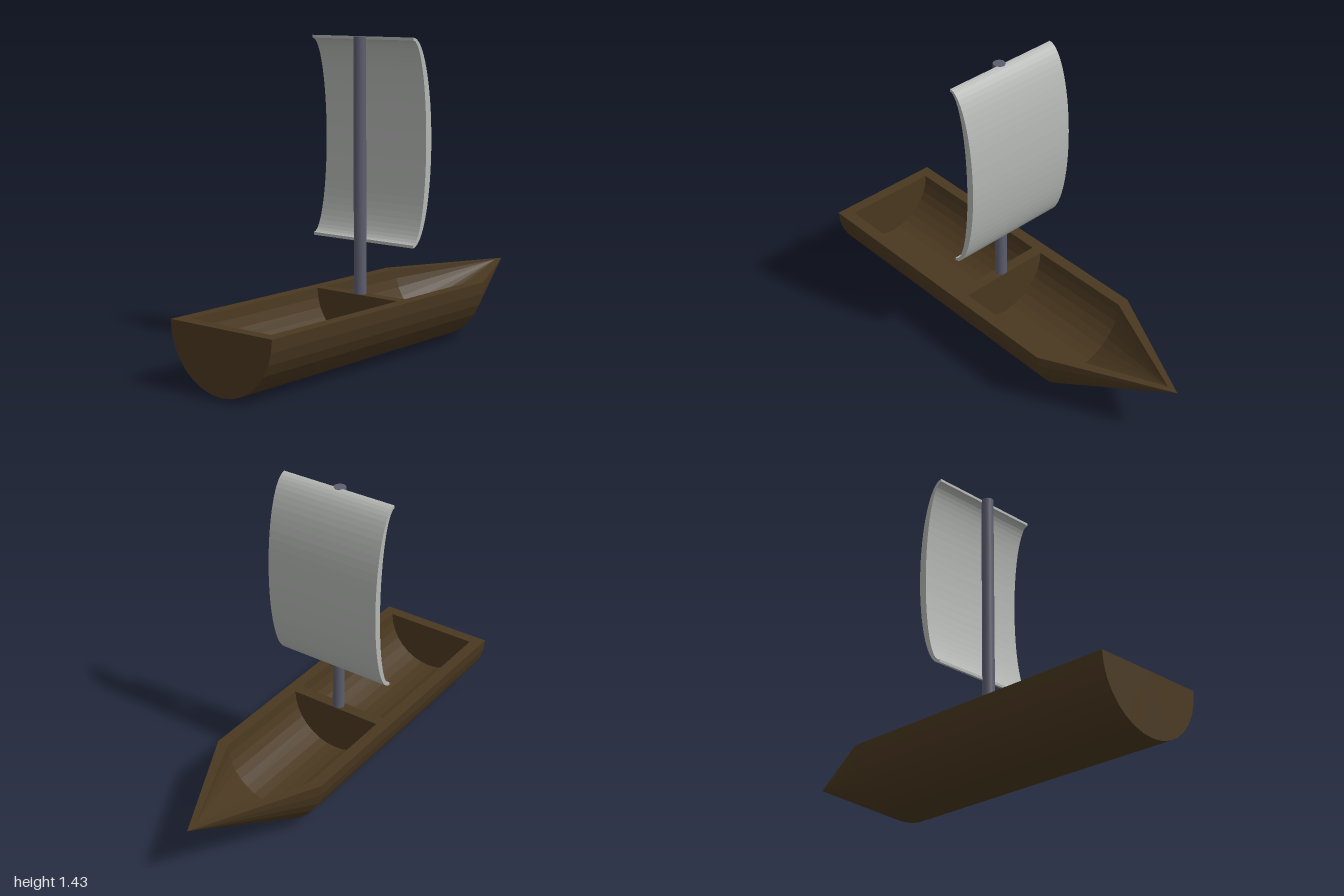
import * as THREE from 'three';

const RADIUS = 0.286;       // outer hull radius, also the deck height
const INNER = 0.23;         // radius of the hollows
const SHOULDER = 0.43;      // where the bow begins to taper
const BOW = 1, INNER_BOW = 0.945;
const STERN = -1, INNER_STERN = -0.945;
const BULKHEAD = [-0.145, -0.09];
const MAST_X = -0.118;

const wood = new THREE.MeshStandardMaterial({ color: 0x4a3820, name: 'dark wood' });
const metal = new THREE.MeshStandardMaterial({ color: 0x5c5e6e, name: 'slate mast' });
const cloth = new THREE.MeshStandardMaterial({ color: 0xb4b7b4, name: 'grey sailcloth' });

function faceted(geometry) {
  const flat = geometry.toNonIndexed();
  flat.computeVertexNormals();
  return flat;
}

function part(name, geometry, material, parent) {
  const mesh = new THREE.Mesh(geometry, material);
  mesh.name = name;
  parent.add(mesh);
  return mesh;
}

// Lower half of a solid of revolution along x, from [x, radius] pairs
function halfTurned(profile) {
  const points = profile.map(([x, r]) => new THREE.Vector2(r, x));
  const geometry = new THREE.LatheGeometry(points, 16, 0, Math.PI);
  geometry.rotateZ(-Math.PI / 2);
  geometry.translate(0, RADIUS, 0);
  return faceted(geometry);
}

const outline = (Type, pairs) => new Type(pairs.map(([x, z]) => new THREE.Vector2(x, z)));

export function createModel() {
  const boat = new THREE.Group();
  boat.name = 'sailboat';

  // Hull: half cylinder with a half cone bow
  const hull = new THREE.Group();
  hull.name = 'hull';
  boat.add(hull);
  part('hullShell', halfTurned([[STERN, 0], [STERN, RADIUS], [SHOULDER, RADIUS], [BOW, 0]]), wood, hull);

  // Hollows on either side of the bulkhead, profiles reversed to face inwards
  const aft = [[INNER_STERN, 0], [INNER_STERN, INNER], [BULKHEAD[0], INNER], [BULKHEAD[0], 0]];
  const fore = [[BULKHEAD[1], 0], [BULKHEAD[1], INNER], [SHOULDER, INNER], [INNER_BOW, 0]];
  part('aftHold', halfTurned([...aft].reverse()), wood, hull);
  part('foreHold', halfTurned([...fore].reverse()), wood, hull);

  // Gunwale rim and bulkhead top as one flat face with two openings
  const rim = outline(THREE.Shape, [
    [STERN, -RADIUS], [SHOULDER, -RADIUS], [BOW, 0], [SHOULDER, RADIUS], [STERN, RADIUS],
  ]);
  rim.holes.push(
    outline(THREE.Path, [
      [INNER_STERN, -INNER], [INNER_STERN, INNER], [BULKHEAD[0], INNER], [BULKHEAD[0], -INNER],
    ]),
    outline(THREE.Path, [
      [BULKHEAD[1], -INNER], [BULKHEAD[1], INNER], [SHOULDER, INNER], [INNER_BOW, 0], [SHOULDER, -INNER],
    ]),
  );
  const rimGeometry = new THREE.ShapeGeometry(rim);
  rimGeometry.rotateX(-Math.PI / 2);
  rimGeometry.translate(0, RADIUS, 0);
  part('gunwale', rimGeometry, wood, hull);

  // Mast standing on the bulkhead
  const mastHeight = 1.43 - RADIUS;
  const mast = part('mast', new THREE.CylinderGeometry(0.028, 0.028, mastHeight, 16), metal, boat);
  mast.position.set(MAST_X, RADIUS + mastHeight / 2, 0);

  // Sail: a billowing crescent between two half ellipses
  const sailX = -0.105, sailY = 0.975;
  const crescent = new THREE.Shape();
  crescent.absellipse(sailX, sailY, 0.13, 0.455, -Math.PI / 2, Math.PI / 2, false);
  crescent.lineTo(sailX, sailY + 0.442);
  crescent.absellipse(sailX, sailY, 0.093, 0.442, Math.PI / 2, -Math.PI / 2, true);
  const sail = new THREE.ExtrudeGeometry(crescent, {
    depth: RADIUS * 2, bevelEnabled: false, curveSegments: 16,
  });
  sail.translate(0, 0, -RADIUS);
  part('sail', sail, cloth, boat);

  return boat;
}
